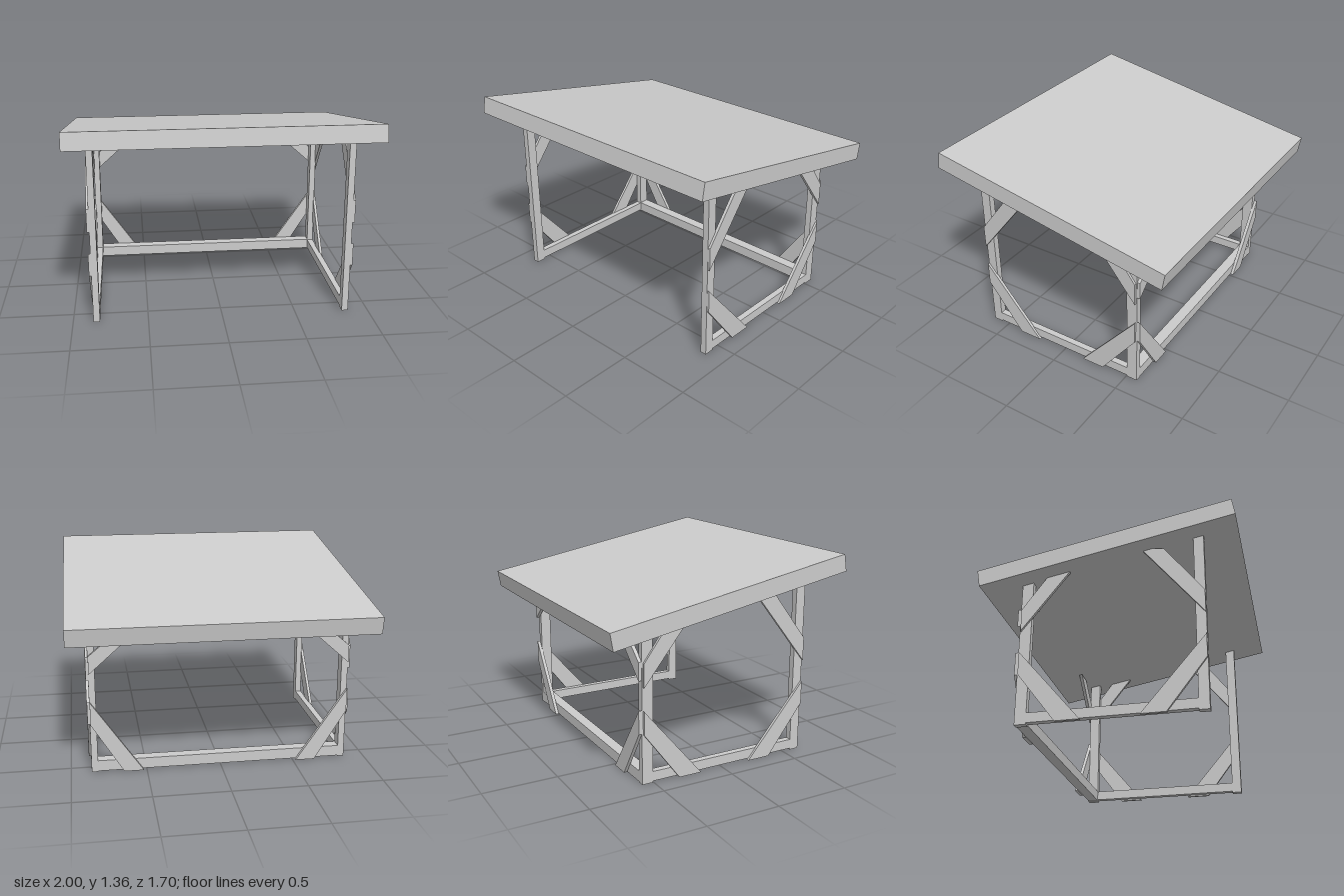
import * as THREE from 'three';

const material = new THREE.MeshStandardMaterial({ color: 0xcccccc, flatShading: true });

function extrude(points, depth) {
  const shape = new THREE.Shape(points.map(([a, b]) => new THREE.Vector2(a, b)));
  return new THREE.ExtrudeGeometry(shape, { depth, bevelEnabled: false });
}

// Profile drawn in (z, y), extruded between x0 and x1
function sidePart(name, points, x0, x1) {
  const g = extrude(points, x1 - x0);
  g.rotateY(-Math.PI / 2);
  g.translate(x1, 0, 0);
  const mesh = new THREE.Mesh(g, material);
  mesh.name = name;
  return mesh;
}

// Profile drawn in (x, y), extruded between z0 and z1
function backPart(name, points, z0, z1) {
  const g = extrude(points, z1 - z0);
  g.translate(0, 0, z0);
  const mesh = new THREE.Mesh(g, material);
  mesh.name = name;
  return mesh;
}

// Height of the sloping underside of the top
const under = (z) => 1.243 - 0.1812 * (0.85 - z);

export function createModel() {
  const model = new THREE.Group();
  model.name = 'slopedTable';

  // Sloping top slab
  model.add(sidePart('tabletop',
    [[0.85, 1.243], [0.83, 1.357], [-0.85, 1.053], [-0.83, 0.938]], -1, 1));

  const inner = 0.822, outer = 0.865;
  for (const s of [1, -1]) {
    const side = s > 0 ? 'left' : 'right';
    const addSide = (name, pts, a, b) =>
      model.add(sidePart(side + name, pts, Math.min(s * a, s * b), Math.max(s * a, s * b)));

    // Posts, cut to the slope at the top
    for (const [name, z0, z1] of [['FrontPost', 0.56, 0.627], ['BackPost', -0.58, -0.505]]) {
      addSide(name, [[z0, 0], [z1, 0], [z1, under(z1)], [z0, under(z0)]], inner, outer);
    }

    // Bottom side rail
    addSide('Rail', [[-0.505, 0.01], [0.56, 0.01], [0.56, 0.075], [-0.505, 0.075]], inner, outer);

    // Diagonal braces on the outer faces of the posts
    const braces = {
      FrontUpperBrace: [[0.625, 0.795], [0.625, 0.64], [0.235, 1.13], [0.29, 1.14], [0.37, 1.13]],
      FrontLowerBrace: [[0.625, 0.49], [0.625, 0.335], [0.37, 0], [0.21, 0]],
      BackUpperBrace: [[-0.572, 0.795], [-0.572, 0.64], [-0.255, under(-0.255)], [-0.41, under(-0.41)]],
      BackLowerBrace: [[-0.572, 0.49], [-0.572, 0.335], [-0.32, 0], [-0.16, 0]],
    };
    for (const [name, pts] of Object.entries(braces)) addSide(name, pts, 0.86, 0.88);

    // Diagonal braces across the back
    const rear = {
      RearUpperBrace: [[0.862, 0.805], [0.862, 0.685], [0.535, 0.975], [0.66, 0.975]],
      RearLowerBrace: [[0.862, 0.495], [0.862, 0.34], [0.65, 0], [0.52, 0]],
    };
    for (const [name, pts] of Object.entries(rear)) {
      model.add(backPart(side + name, pts.map(([x, y]) => [s * x, y]), -0.601, -0.577));
    }
  }

  // Bottom rail joining the back posts
  model.add(backPart('backRail',
    [[-inner, 0.005], [inner, 0.005], [inner, 0.078], [-inner, 0.078]], -0.58, -0.505));

  return model;
}
